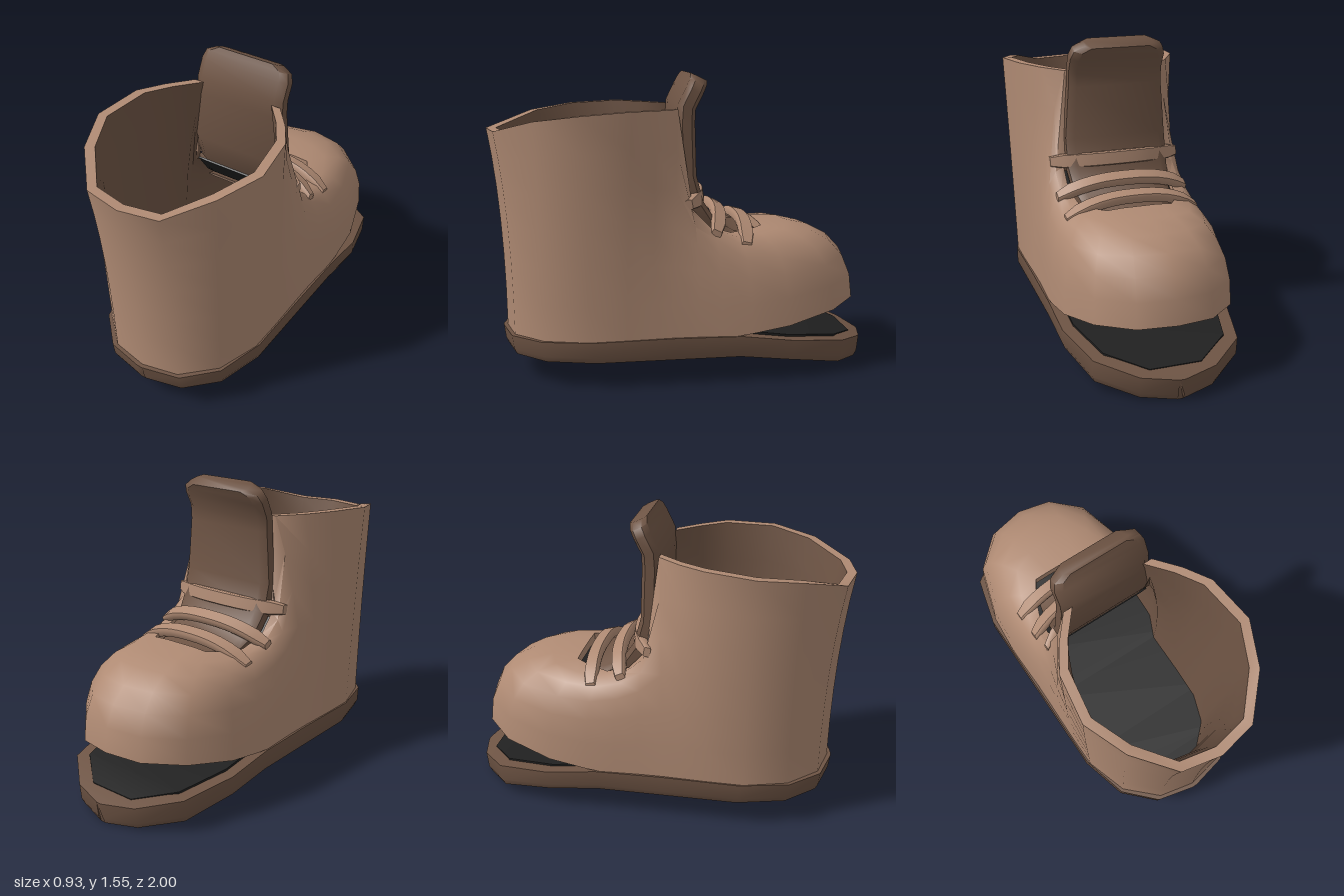
import * as THREE from 'three';
import { toCreasedNormals } from 'three/addons/utils/BufferGeometryUtils.js';

const V = (x, y, z) => new THREE.Vector3(x, y, z);

// Skin cross-sections. A loop joins the last section to the first and leaves each section open;
// otherwise the sections are closed outlines and the two ends are capped.
function loft(rings, loop = false, crease = 0.9) {
  const n = rings[0].length, m = rings.length, pts = rings.flat(), idx = [];
  for (let i = 0; i < (loop ? m : m - 1); i++) {
    for (let j = 0; j < (loop ? n - 1 : n); j++) {
      const a = i * n + j, b = i * n + (j + 1) % n;
      const c = ((i + 1) % m) * n + j, d = ((i + 1) % m) * n + (j + 1) % n;
      idx.push(a, b, d, a, d, c);
    }
  }
  if (!loop) {
    const e = (m - 1) * n;
    for (let j = 1; j < n - 1; j++) idx.push(0, j + 1, j, e, e + j, e + j + 1);
  }
  // Turn the faces outwards when the signed volume is negative
  let volume = 0;
  for (let k = 0; k < idx.length; k += 3) {
    volume += pts[idx[k]].dot(pts[idx[k + 1]].clone().cross(pts[idx[k + 2]]));
  }
  if (volume < 0) idx.reverse();
  const g = new THREE.BufferGeometry().setFromPoints(pts);
  g.setIndex(idx);
  return toCreasedNormals(g, crease);
}

// Oval-cornered strap section
const octagon = [[1, 0.5], [0.85, 1], [-0.85, 1], [-1, 0.5], [-1, -0.5], [-0.85, -1], [0.85, -1], [1, -0.5]];

// Wide strap following [y, z, half width] points
function strap(path, thick) {
  return loft(path.map(([y, z, w], i) => {
    const a = path[Math.max(i - 1, 0)], b = path[Math.min(i + 1, path.length - 1)];
    const dy = b[0] - a[0], dz = b[1] - a[1], l = Math.hypot(dy, dz);
    return octagon.map(([u, v]) => V(u * w, y - v * thick * dz / l, z + v * thick * dy / l));
  }));
}

// Half of the upper, toe to heel: base x, z, y; bend y; top edge x, y, z
const columns = [
  [0, -0.94, 0.36, 0.77, 0, 0.76, -0.4],
  [0.19, -0.90, 0.35, 0.765, 0.09, 0.76, -0.4],
  [0.35, -0.75, 0.33, 0.75, 0.17, 0.755, -0.4],
  [0.425, -0.5, 0.28, 0.74, 0.22, 0.745, -0.32],
  [0.435, -0.3, 0.25, 0.75, 0.26, 0.74, -0.22],
  [0.43, -0.15, 0.23, 0.8, 0.28, 0.78, -0.1],
  [0.425, -0.03, 0.23, 0.85, 0.28, 0.88, -0.01],
  [0.425, 0.1, 0.23, 0.8, 0.25, 1.37, 0.05],
  [0.425, 0.2, 0.23, 0.8, 0.35, 1.372, 0.17],
  [0.425, 0.33, 0.23, 0.8, 0.43, 1.375, 0.3],
  [0.42, 0.52, 0.23, 0.8, 0.465, 1.36, 0.55],
  [0.345, 0.74, 0.23, 0.8, 0.37, 1.33, 0.77],
  [0.19, 0.885, 0.23, 0.85, 0.2, 1.27, 0.96],
  [0, 0.925, 0.23, 0.85, 0, 1.27, 1.0],
];
const rows = 7;

// Sections of the upper all round: outer face from base to top, then inner face back down
function upperSections() {
  const half = columns.map(([bx, bz, by, cy, tx, ty, tz], i) => {
    const bend = V(Math.max(bx, (bx + tx) / 2), cy, bz);
    const outer = new THREE.QuadraticBezierCurve3(V(bx, by, bz), bend, V(tx, ty, tz)).getPoints(rows - 1);
    const inner = outer.map((p, k) => {
      const t = k / (rows - 1), foot = i < 7;
      const d = foot ? 0.07 * (1 - t) : 0.13 - 0.08 * t;
      const toAxis = V(-p.x, 0, THREE.MathUtils.clamp(p.z, -0.5, 0.5) - p.z).normalize();
      const q = p.clone().addScaledVector(toAxis, d);
      if (foot) q.y -= 0.05 * t;
      return q;
    });
    return [...outer, ...inner.reverse()];
  });
  const other = half.slice(1, -1).reverse().map(r => r.map(p => V(-p.x, p.y, p.z)));
  return [...half, ...other];
}

// Sole stations: z, half width, top y, bottom y
const stations = [
  [-1.0, 0.015, 0.115, 0], [-0.95, 0.19, 0.13, 0.015], [-0.8, 0.37, 0.17, 0.05],
  [-0.52, 0.44, 0.205, 0.1], [-0.25, 0.44, 0.24, 0.13], [0.1, 0.435, 0.245, 0.13],
  [0.5, 0.43, 0.24, 0.13], [0.75, 0.36, 0.235, 0.13], [0.9, 0.21, 0.23, 0.13], [0.945, 0.015, 0.23, 0.13],
];

export function createModel() {
  const boot = new THREE.Group();
  boot.name = 'boot';
  const paint = (name, color, side = THREE.FrontSide) => {
    const m = new THREE.MeshStandardMaterial({ color, side });
    m.name = name;
    return m;
  };
  const leather = paint('tan leather', 0xaf8a73);
  const darkLeather = paint('dark brown leather', 0x6e5444, THREE.DoubleSide);
  const black = paint('black lining', 0x202020);
  const add = (name, geometry, material) => {
    const mesh = new THREE.Mesh(geometry, material);
    mesh.name = name;
    boot.add(mesh);
  };

  // Tan outside with its lip and rim, dark inside
  const sections = upperSections();
  add('upper', loft(sections.map(r => [r[2 * rows - 1], ...r.slice(0, rows + 1)]), true), leather);
  add('upperLining', loft(sections.map(r => r.slice(rows)), true), darkLeather);

  // Sole bending down at the toe, and the insole lying on it
  add('sole', loft(stations.map(([z, w, top, bottom]) => [
    V(w, top, z), V(w, bottom + 0.03, z * 0.99), V(w * 0.97, bottom, z * 0.975),
    V(-w * 0.97, bottom, z * 0.975), V(-w, bottom + 0.03, z * 0.99), V(-w, top, z),
  ]), false, 0.7), darkLeather);
  add('insole', loft(stations.slice(1, -1).map(([z, w, top]) => [
    V(w - 0.06, top + 0.014, z * 0.96), V(w - 0.06, top, z * 0.96),
    V(0.06 - w, top, z * 0.96), V(0.06 - w, top + 0.014, z * 0.96),
  ])), black);

  // Tongue, with the linings beneath it
  add('tongue', strap([
    [0.68, -0.36, 0.2], [0.69, -0.24, 0.23], [0.76, -0.12, 0.255], [0.88, -0.04, 0.27],
    [1.03, 0, 0.27], [1.3, 0.005, 0.25], [1.38, 0, 0.25], [1.46, -0.04, 0.25], [1.5, -0.06, 0.235], [1.525, -0.072, 0.18],
  ], 0.047), darkLeather);
  add('throatLining', strap([
    [0.66, -0.44, 0.2], [0.64, -0.24, 0.27], [0.71, -0.1, 0.29], [0.85, 0.0, 0.28],
  ], 0.006), black);
  add('toeLining', strap([[0.63, -0.5, 0.26], [0.61, -0.24, 0.3], [0.66, -0.12, 0.3]], 0.006), darkLeather);

  // Three laces arched over the throat: middle y, z; end y, z; tilt of the flat band
  const laces = [
    [0.785, -0.312, 0.69, -0.285, 0.25],
    [0.84, -0.18, 0.755, -0.13, 0.45],
    [0.925, -0.085, 0.905, 0.01, 1.4],
  ];
  laces.forEach(([my, mz, ey, ez, tilt], n) => {
    const rings = [], cos = Math.cos(tilt), sin = Math.sin(tilt);
    for (let i = -6; i <= 6; i++) {
      const s = i / 6, k = Math.abs(s) ** 2.5, size = Math.abs(i) === 6 ? 0.7 : 1;
      rings.push(octagon.map(([u, v]) => {
        const a = u * 0.036 * size, b = v * 0.024 * size;
        return V(s * 0.35, my + (ey - my) * k + a * sin + b * cos, mz + (ez - mz) * k + a * cos - b * sin);
      }));
    }
    add('lace' + (n + 1), loft(rings), leather);
  });
  return boot;
}
